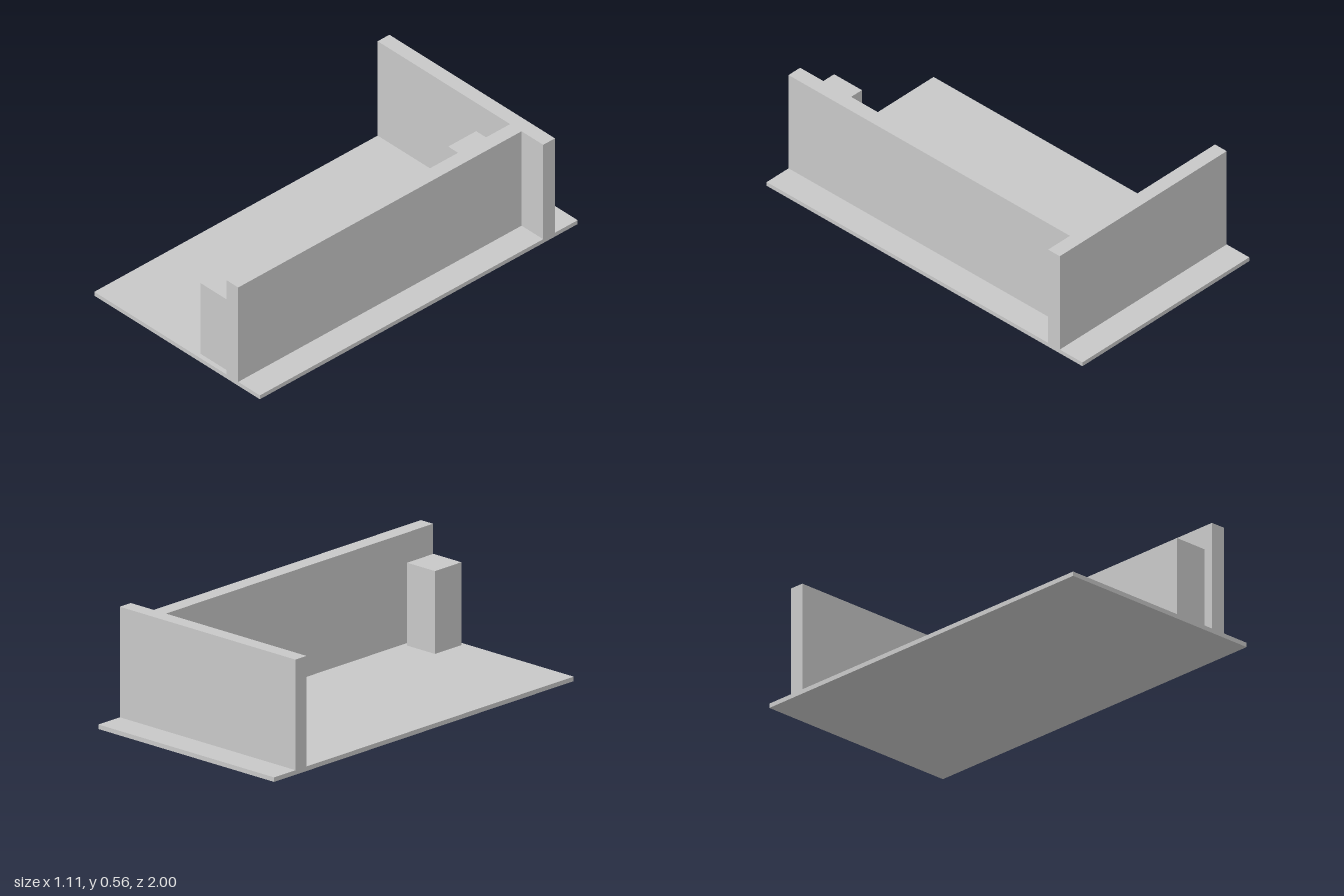
import * as THREE from 'three';

const BASE_TOP = 0.022;
const WALL_TOP = 0.557;

export function createModel() {
  const group = new THREE.Group();
  const grey = new THREE.MeshStandardMaterial({ color: 0xc8c8c8 });
  grey.name = 'light grey';

  // Box given by its lower and upper corners
  const addBox = (name, [x0, y0, z0], [x1, y1, z1]) => {
    const mesh = new THREE.Mesh(new THREE.BoxGeometry(x1 - x0, y1 - y0, z1 - z0), grey);
    mesh.position.set((x0 + x1) / 2, (y0 + y1) / 2, (z0 + z1) / 2);
    mesh.name = name;
    group.add(mesh);
  };

  // Floor slab
  addBox('floorSlab', [-0.555, 0, -1], [0.555, BASE_TOP, 1]);

  // T-shaped wall: cross wall at the back, long wall running to the front edge.
  // Plan drawn as (x, -z) and extruded upward.
  const plan = new THREE.Shape([
    [-0.555, 0.783], [0.333, 0.783], [0.333, -1], [0.41, -1],
    [0.41, 0.783], [0.555, 0.783], [0.555, 0.857], [-0.555, 0.857],
  ].map(([x, y]) => new THREE.Vector2(x, y)));
  const wallGeometry = new THREE.ExtrudeGeometry(plan, {
    depth: WALL_TOP - BASE_TOP, bevelEnabled: false,
  });
  wallGeometry.rotateX(-Math.PI / 2);
  const walls = new THREE.Mesh(wallGeometry, grey);
  walls.position.y = BASE_TOP;
  walls.name = 'walls';
  group.add(walls);

  // Square posts beside the long wall
  for (const [name, z] of [['backPost', -0.67], ['frontPost', 0.888]]) {
    addBox(name, [0.132, BASE_TOP, z - 0.088], [0.308, 0.423, z + 0.088]);
  }

  return group;
}
